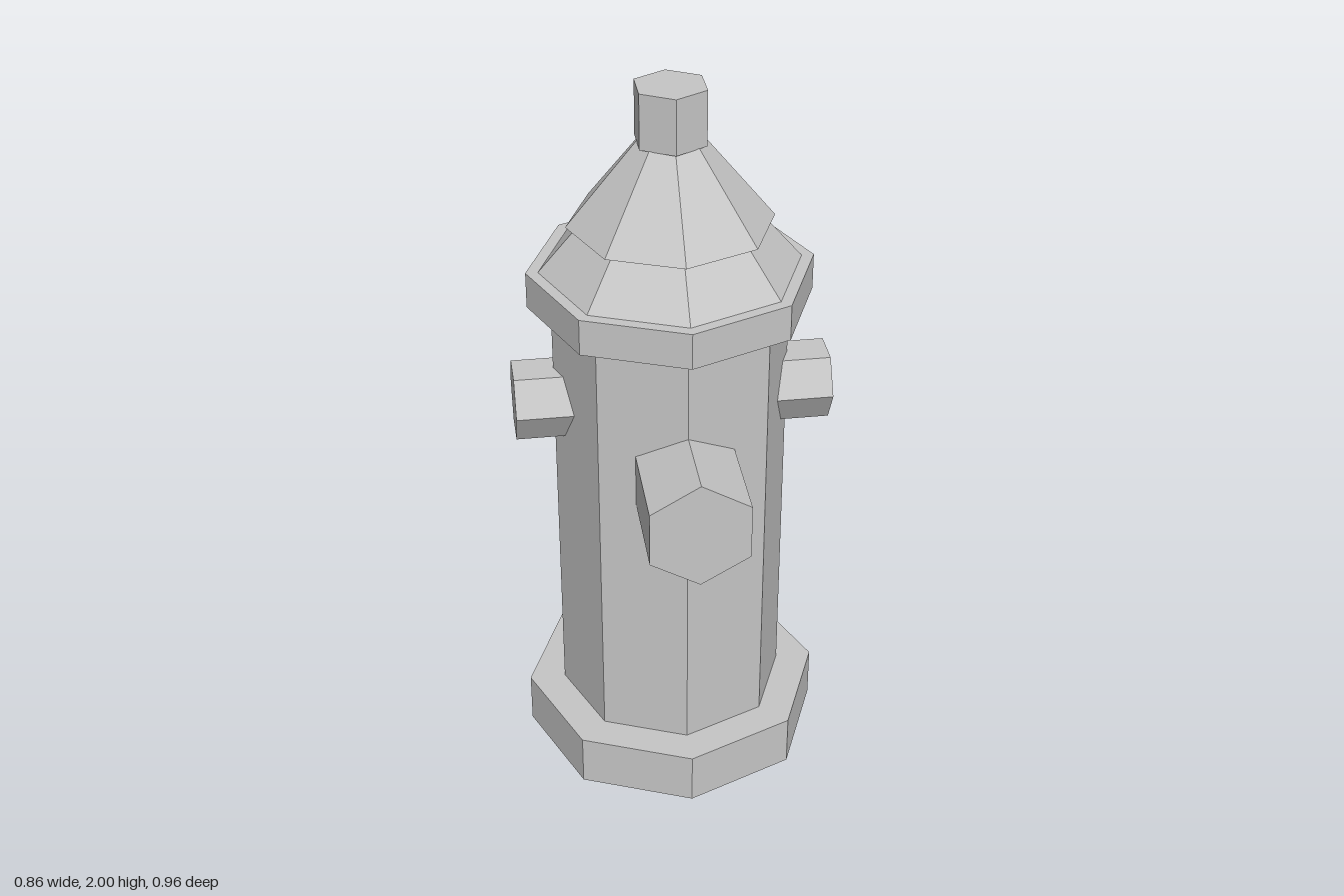
import * as THREE from 'three';

export function createModel() {
  const model = new THREE.Group();
  model.name = 'hydrant';
  const castIron = new THREE.MeshStandardMaterial({ color: 0xc6c6c6, flatShading: true });
  castIron.name = 'pale grey iron';

  const axisZ = -0.06; // the barrel sits behind the centre, balancing the front outlet

  function add(name, geometry) {
    const mesh = new THREE.Mesh(geometry, castIron);
    mesh.name = name;
    model.add(mesh);
    return mesh;
  }

  // Upright prism or frustum between two heights
  function upright(name, rBottom, rTop, y0, y1, sides = 8) {
    const mesh = add(name, new THREE.CylinderGeometry(rTop, rBottom, y1 - y0, sides));
    mesh.position.set(0, (y0 + y1) / 2, axisZ);
  }

  upright('baseFlange', 0.422, 0.422, 0, 0.15);
  upright('barrel', 0.32, 0.32, 0.15, 1.4);
  upright('collar', 0.383, 0.383, 1.4, 1.5);
  upright('lowerBonnet', 0.35, 0.243, 1.5, 1.625);
  upright('upperBonnet', 0.275, 0.087, 1.625, 1.855);
  upright('topNut', 0.1, 0.1, 1.85, 2, 6);

  // Large hexagonal front outlet
  const front = add('frontOutlet', new THREE.CylinderGeometry(0.152, 0.152, 0.38, 6).rotateX(Math.PI / 2));
  front.position.set(0, 1.002, 0.29);

  // Smaller hexagonal side outlets
  for (const side of [1, -1]) {
    const outlet = add(side > 0 ? 'leftOutlet' : 'rightOutlet',
      new THREE.CylinderGeometry(0.107, 0.107, 0.23, 6).rotateZ(Math.PI / 2));
    outlet.position.set(side * 0.315, 1.118, axisZ);
  }

  return model;
}
